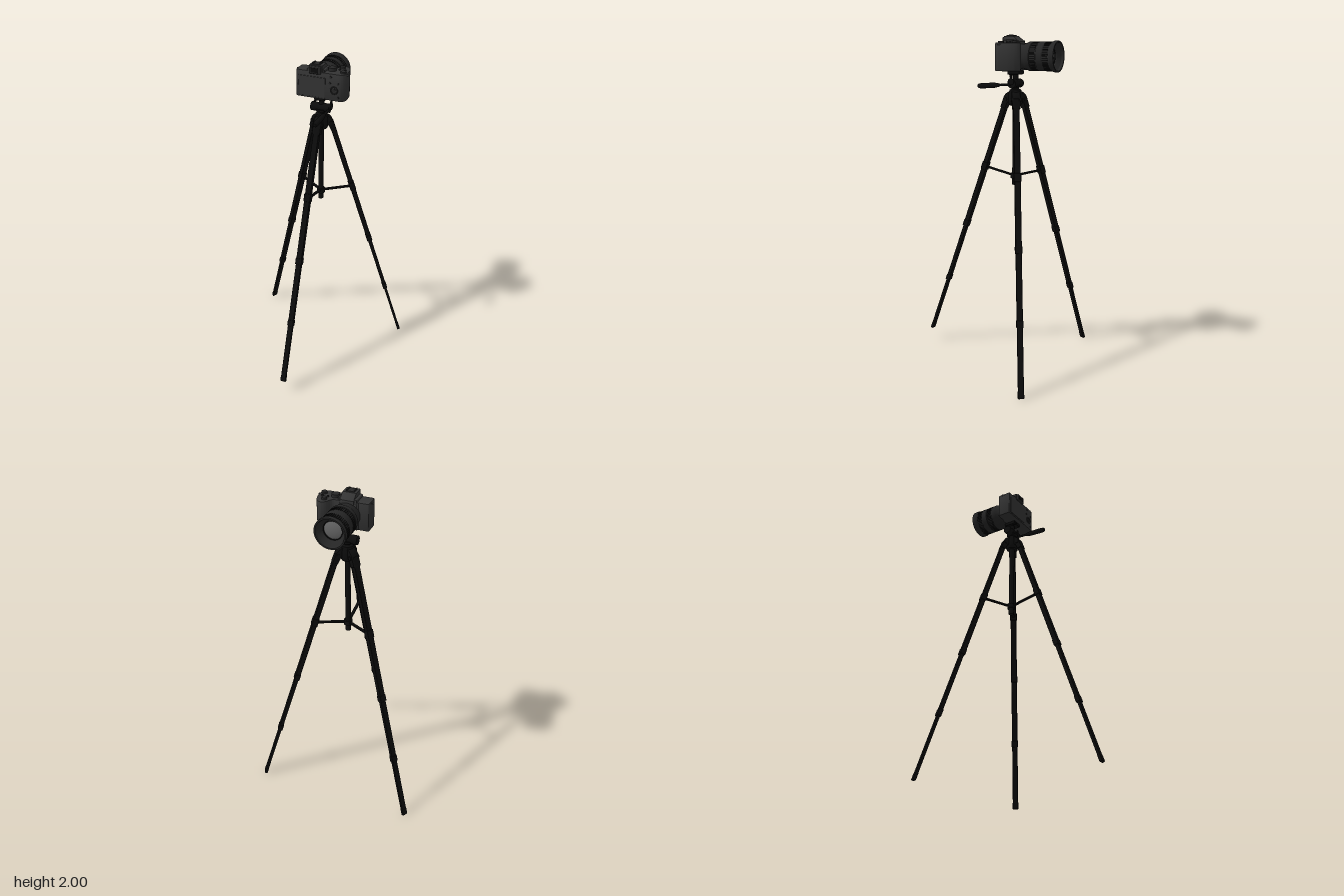
import * as THREE from 'three';
import { toCreasedNormals } from 'three/addons/utils/BufferGeometryUtils.js';
import { RoundedBoxGeometry } from 'three/addons/geometries/RoundedBoxGeometry.js';

const mat = (color) => new THREE.MeshStandardMaterial({ color });
const BLACK = mat(0x0c0c0c), BODY = mat(0x343434), TRIM = mat(0x262626), GLASS = mat(0x666666);
const AXIS_Z = -0.152; // depth of the tripod's centre column
const LENS = { x: -0.013, y: 1.878, z: -0.175 };

function add(parent, name, geo, material, x = 0, y = 0, z = 0) {
  const m = new THREE.Mesh(geo, material);
  m.name = name;
  m.position.set(x, y, z);
  parent.add(m);
  return m;
}
function group(parent, name) {
  const g = new THREE.Group();
  g.name = name;
  parent.add(g);
  return g;
}
const box = (w, h, d, r = 0.004) => new RoundedBoxGeometry(w, h, d, 2, r);
const cyl = (r0, r1, h, n = 32) => new THREE.CylinderGeometry(r0, r1, h, n);
const lathe = (pts, n = 48) => toCreasedNormals(
  new THREE.LatheGeometry(pts.map(([r, y]) => new THREE.Vector2(r, y)), n), 0.5);
const shapeOf = (pts) => new THREE.Shape(pts.map(([x, y]) => new THREE.Vector2(x, y)));
const extrude = (shape, depth, bevel = 0.004) => toCreasedNormals(new THREE.ExtrudeGeometry(shape, {
  depth: depth - 2 * bevel, bevelEnabled: true, bevelSize: bevel, bevelThickness: bevel,
  bevelOffset: -bevel, bevelSegments: 2, curveSegments: 12,
}).translate(0, 0, bevel), 0.6);

// One leg leaning out along local +z, from (r, y) top to (r, y) bottom
function makeLeg(parent, name, angle, top, bottom) {
  const leg = group(parent, name);
  leg.position.z = AXIS_Z;
  leg.rotation.y = angle;
  const at = (t) => [top[0] + (bottom[0] - top[0]) * t, top[1] + (bottom[1] - top[1]) * t];
  const tilt = Math.atan2(top[0] - bottom[0], top[1] - bottom[1]);
  const length = Math.hypot(top[0] - bottom[0], top[1] - bottom[1]);
  const piece = (label, t0, t1, w, d) => {
    const [r, y] = at((t0 + t1) / 2);
    add(leg, label, box(w, length * (t1 - t0), d), BLACK, 0, y, r).rotation.x = tilt;
  };
  piece('upperTube', 0, 0.515, 0.036, 0.03);
  piece('middleTube', 0.5, 0.765, 0.035, 0.023);
  piece('lowerTube', 0.75, 0.985, 0.034, 0.017);
  piece('foot', 0.975, 1, 0.036, 0.019);
  piece('braceClamp', 0.255, 0.285, 0.043, 0.036);
  piece('upperLock', 0.5, 0.525, 0.042, 0.034);
  piece('lowerLock', 0.745, 0.77, 0.04, 0.028);

  // Curved shoulder bracket holding the leg top
  const s = new THREE.Shape();
  s.moveTo(0.0, 1.60);
  s.lineTo(0.0, 1.685);
  s.quadraticCurveTo(0.055, 1.675, 0.068, 1.64);
  s.lineTo(0.088, 1.585);
  s.lineTo(0.058, 1.575);
  s.lineTo(0.04, 1.615);
  const bracket = extrude(s, 0.05).rotateY(-Math.PI / 2).translate(0.025, 0, 0);
  add(leg, 'shoulderBracket', bracket, BLACK);
  const pin = cyl(0.012, 0.012, 0.06, 20).rotateZ(Math.PI / 2);
  add(leg, 'shoulderPin', pin, BLACK, 0, 1.63, 0.055);

  // Spreader brace from the column to the leg
  const [r, y] = at(0.27);
  const endY = y - 0.005, startY = 1.175;
  const brace = add(leg, 'brace', box(0.018, 0.012, Math.hypot(r, endY - startY)),
    BLACK, 0, (startY + endY) / 2, r / 2);
  brace.rotation.x = -Math.atan2(endY - startY, r);
}

function makeHead(parent) {
  const head = group(parent, 'tripodHead');
  add(head, 'centreColumn', cyl(0.016, 0.016, 0.6), BLACK, 0, 1.42, AXIS_Z);
  add(head, 'braceCollar', cyl(0.025, 0.025, 0.03), BLACK, 0, 1.175, AXIS_Z);
  add(head, 'hub', lathe([[0, 1.595], [0.034, 1.595], [0.042, 1.61], [0.042, 1.66], [0.034, 1.685],
    [0.022, 1.692], [0.022, 1.70], [0.036, 1.704], [0.036, 1.715], [0, 1.715]]), BLACK, 0, 0, AXIS_Z);
  add(head, 'tiltBarrel', cyl(0.026, 0.026, 0.115).rotateZ(Math.PI / 2), BLACK, -0.004, 1.722, AXIS_Z);
  add(head, 'neck', cyl(0.016, 0.016, 0.05), BLACK, 0, 1.755, AXIS_Z);
  add(head, 'mountPlate', box(0.066, 0.022, 0.078), BLACK, 0, 1.786, AXIS_Z);
  add(head, 'plateLever', box(0.012, 0.01, 0.03), BLACK, -0.025, 1.772, -0.115);
  // Side tightening knob
  add(head, 'sideKnob', cyl(0.02, 0.016, 0.022, 12).rotateZ(-Math.PI / 2), BLACK, 0.053, 1.735, AXIS_Z);
  add(head, 'knobWing', box(0.012, 0.05, 0.014), BLACK, 0.058, 1.752, AXIS_Z).rotation.z = -0.2;
  // Pan handle reaching toward the user
  const handle = group(head, 'panHandle');
  handle.position.set(0.05, 1.718, -0.15);
  handle.rotation.x = Math.PI / 2 + 0.06;
  add(handle, 'rodAndGrip', lathe([[0, 0], [0.007, 0], [0.007, 0.075], [0.011, 0.085], [0.015, 0.11],
    [0.016, 0.19], [0.014, 0.214], [0.01, 0.22], [0, 0.22]], 24), BLACK);
}

function makeLens(parent) {
  const lens = group(parent, 'lens');
  lens.position.set(LENS.x, LENS.y, LENS.z);
  lens.rotation.x = -Math.PI / 2; // local +y runs out of the front of the camera
  add(lens, 'barrel', lathe([[0, 0], [0.071, 0], [0.071, 0.03], [0.08, 0.058], [0.083, 0.064],
    [0.083, 0.088], [0.081, 0.09], [0.081, 0.128], [0.083, 0.13], [0.083, 0.165], [0.081, 0.168],
    [0.081, 0.205], [0.084, 0.21], [0.088, 0.217], [0.088, 0.241], [0.08, 0.241], [0.077, 0.226],
    [0.056, 0.205], [0.052, 0.19], [0, 0.19]]), TRIM);
  const dome = new THREE.SphereGeometry(0.08, 32, 8, 0, Math.PI * 2, 0, 0.7);
  add(lens, 'frontElement', dome.scale(1, 0.5, 1), GLASS, 0, 0.162, 0);
  add(lens, 'innerRing', new THREE.TorusGeometry(0.053, 0.003, 8, 40).rotateX(Math.PI / 2), BLACK, 0, 0.197, 0);
  // Ribbed grip rings
  for (const [name, d, h] of [['zoomRib', 0.109, 0.03], ['focusRib', 0.188, 0.034]]) {
    for (let i = 0; i < 48; i++) {
      const a = (i / 48) * Math.PI * 2;
      const rib = add(lens, name, new THREE.BoxGeometry(0.006, h, 0.004), BLACK,
        Math.sin(a) * 0.0815, d, Math.cos(a) * 0.0815);
      rib.rotation.y = a;
    }
  }
}

function makeCamera(parent) {
  const cam = group(parent, 'camera');
  // Body and hand grip share one plan outline (x, -z)
  const plan = new THREE.Shape();
  plan.moveTo(-0.122, 0.088);
  plan.lineTo(0.125, 0.088);
  plan.quadraticCurveTo(0.163, 0.09, 0.163, 0.13);
  plan.lineTo(0.16, 0.175);
  plan.quadraticCurveTo(0.148, 0.236, 0.118, 0.238);
  plan.quadraticCurveTo(0.092, 0.236, 0.08, 0.205);
  plan.quadraticCurveTo(0.072, 0.187, 0.05, 0.185);
  plan.lineTo(-0.065, 0.185);
  plan.lineTo(-0.075, 0.177);
  plan.lineTo(-0.122, 0.176);
  plan.quadraticCurveTo(-0.132, 0.176, -0.132, 0.166);
  plan.lineTo(-0.132, 0.098);
  plan.quadraticCurveTo(-0.132, 0.088, -0.122, 0.088);
  add(cam, 'body', extrude(plan, 0.158).rotateX(-Math.PI / 2), BODY, 0, 1.797, 0);

  // Viewfinder hump: side profile (-z, y) run across x
  const hump = shapeOf([[0.088, 1.94], [0.19, 1.94], [0.188, 1.962], [0.15, 1.992], [0.088, 1.992]]);
  add(cam, 'viewfinderHump', extrude(hump, 0.08, 0.005).rotateY(Math.PI / 2), BODY, -0.052, 0, 0);
  add(cam, 'eyecup', box(0.07, 0.045, 0.022, 0.006), TRIM, LENS.x, 1.966, -0.086);
  add(cam, 'eyepiece', box(0.046, 0.026, 0.004, 0.001), BLACK, LENS.x, 1.966, -0.075);
  add(cam, 'shoeBase', box(0.046, 0.004, 0.045, 0.001), TRIM, LENS.x, 1.993, -0.118);
  for (const s of [-1, 1]) {
    add(cam, 'shoeRail', box(0.008, 0.008, 0.045, 0.002), TRIM, LENS.x + s * 0.021, 1.996, -0.118);
    add(cam, 'humpShoulder', box(0.02, 0.03, 0.09), BODY, LENS.x + s * 0.043, 1.954, -0.137);
  }

  // Top dials and buttons: name, x, z, radius, height
  for (const [name, x, z, r, h] of [
    ['modeDial', 0.066, -0.147, 0.024, 0.018], ['shutterButton', 0.11, -0.198, 0.015, 0.012],
    ['exposureDial', 0.14, -0.127, 0.017, 0.01], ['topButton', 0.103, -0.165, 0.006, 0.007],
    ['topButton', 0.136, -0.165, 0.006, 0.007],
  ]) add(cam, name, cyl(r * 0.94, r, h + 0.006, 28), TRIM, x, 1.952 + h / 2, z);

  // Rear screen and controls
  add(cam, 'rearScreen', box(0.165, 0.118, 0.006, 0.002), BODY, -0.035, 1.866, -0.088);
  add(cam, 'controlWheel', new THREE.TorusGeometry(0.02, 0.004, 8, 32), TRIM, 0.1, 1.86, -0.088);
  for (const [x, y, r] of [[0.1, 1.86, 0.011], [0.075, 1.9, 0.006], [0.125, 1.9, 0.006],
    [0.08, 1.935, 0.007], [0.125, 1.82, 0.006]])
    add(cam, 'rearButton', cyl(r, r, 0.008, 20).rotateX(Math.PI / 2), TRIM, x, y, -0.088);

  // Strap lugs
  for (const [x, z] of [[-0.136, -0.138], [0.167, -0.126]])
    add(cam, 'strapLug', new THREE.TorusGeometry(0.008, 0.002, 8, 20).rotateX(Math.PI / 2), GLASS, x, 1.945, z);
  makeLens(cam);
}

export function createModel() {
  const model = new THREE.Group();
  model.name = 'cameraOnTripod';
  makeLeg(model, 'frontLeg', 0, [0.05, 1.64], [0.602, 0.09]);
  makeLeg(model, 'rearLeftLeg', Math.PI * 2 / 3, [0.056, 1.635], [0.567, 0.006]);
  makeLeg(model, 'rearRightLeg', -Math.PI * 2 / 3, [0.056, 1.635], [0.567, 0.006]);
  makeHead(model);
  makeCamera(model);
  return model;
}
